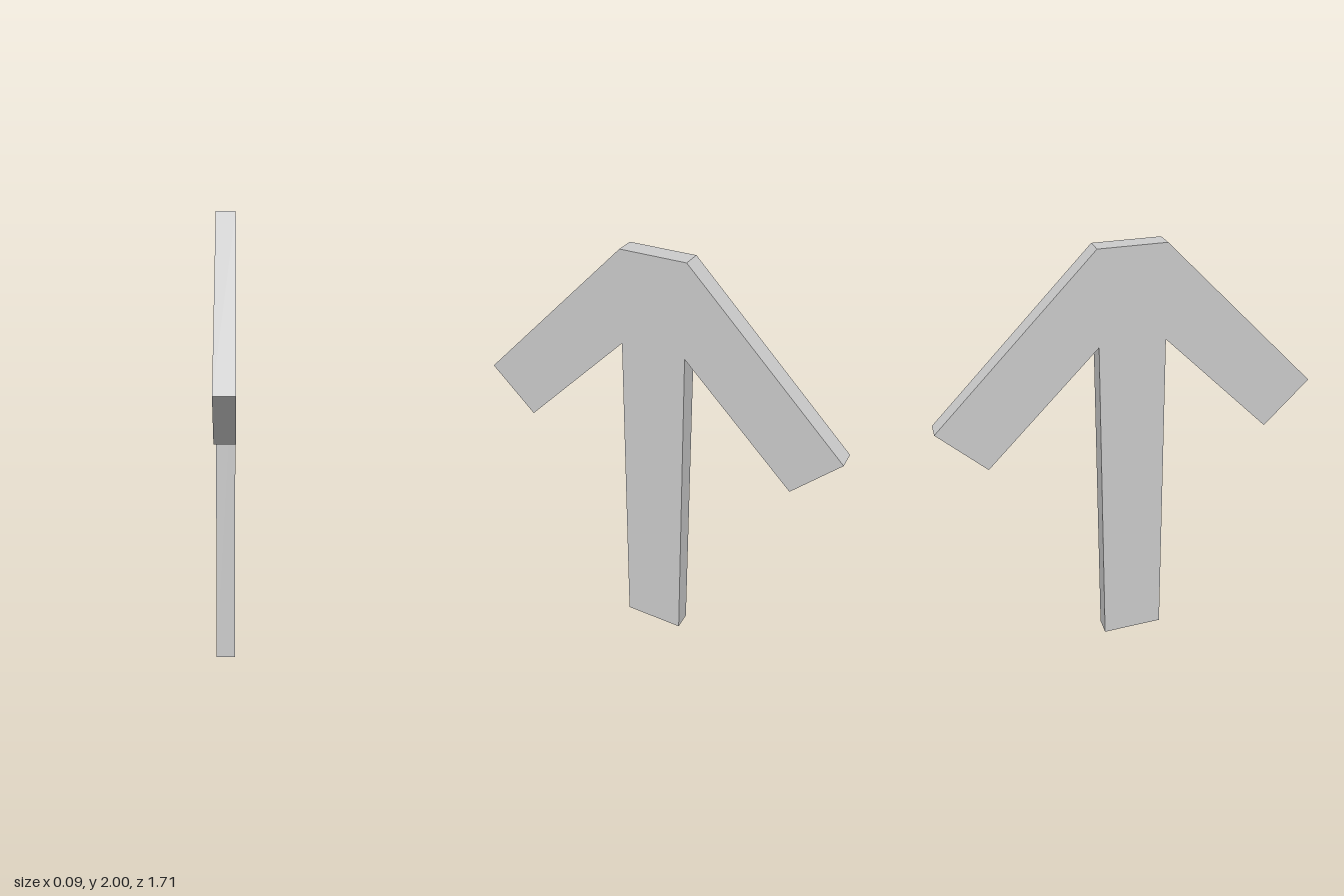
import * as THREE from 'three';

export function createModel() {
  const group = new THREE.Group();
  const thickness = 0.085;

  // Half outline of the arrow, from the foot of the shaft up to the flat tip
  const half = [[0.147, 0], [0.147, 1.585], [0.65, 1.083], [0.857, 1.29], [0.147, 2]];
  const mirrored = half.map(([u, v]) => [-u, v]).reverse();
  const outline = [...half, ...mirrored].map(([u, v]) => new THREE.Vector2(u, v));

  // Flat plate standing in the y-z plane
  const geometry = new THREE.ExtrudeGeometry(new THREE.Shape(outline), {
    depth: thickness,
    bevelEnabled: false,
  });
  geometry.translate(0, 0, -thickness / 2);
  geometry.rotateY(Math.PI / 2);

  const material = new THREE.MeshStandardMaterial({ color: 0xcccccc, flatShading: true });
  const arrow = new THREE.Mesh(geometry, material);
  arrow.name = 'arrow';
  group.add(arrow);
  return group;
}
